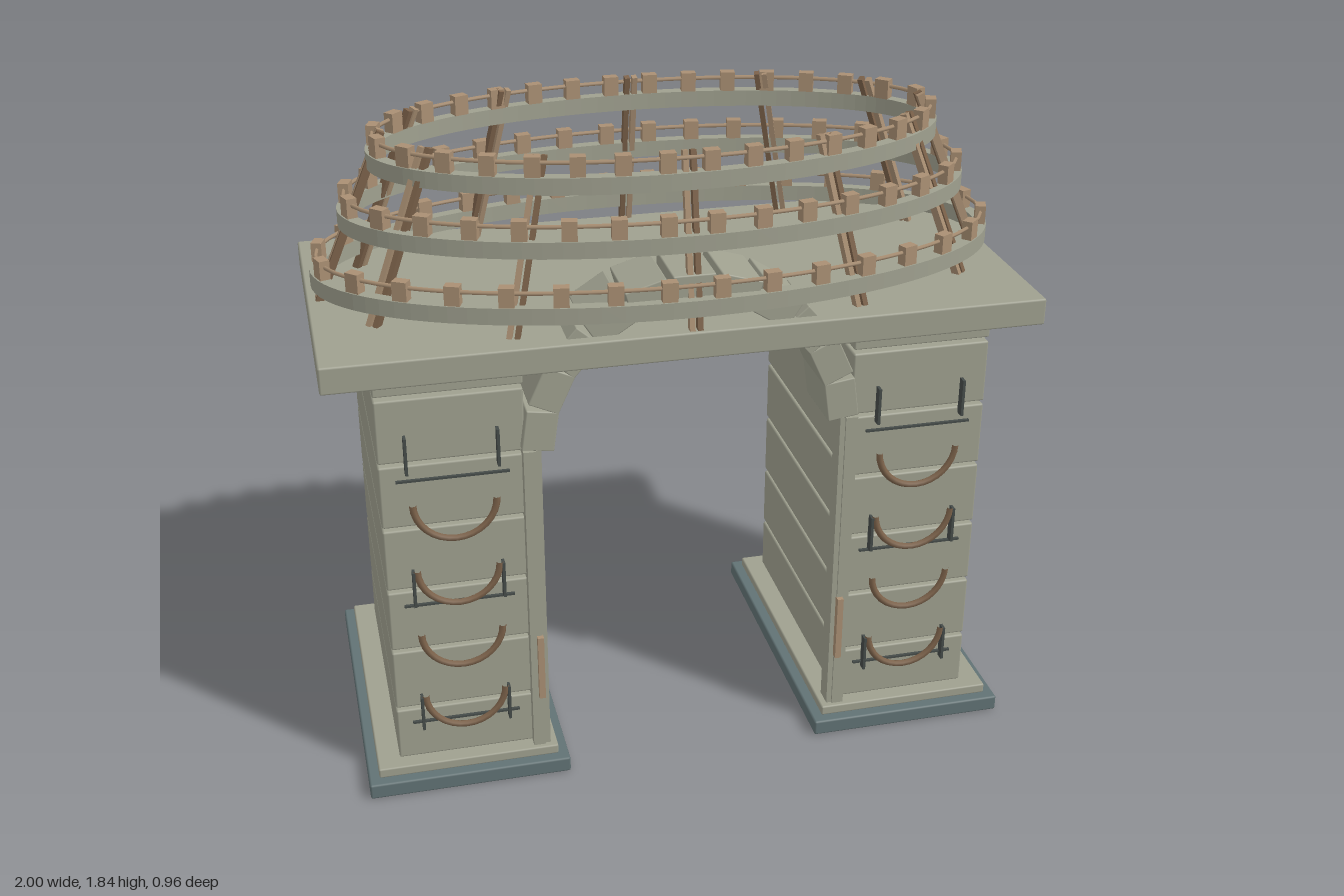
import * as THREE from 'three';
import { RoundedBoxGeometry } from 'three/addons/geometries/RoundedBoxGeometry.js';

const mat = (name, color) => {
  const m = new THREE.MeshStandardMaterial({ color });
  m.name = name;
  return m;
};

export function createModel() {
  const stone = mat('stone', 0x9fa08f);
  const slate = mat('slate', 0x617274);
  const wood = mat('wood', 0xa98f73);
  const darkWood = mat('dark wood', 0x7d634b);
  const iron = mat('iron', 0x454b49);

  const model = new THREE.Group();
  model.name = 'archway';

  const add = (parent, name, geo, material, x = 0, y = 0, z = 0) => {
    const mesh = new THREE.Mesh(geo, material);
    mesh.name = name;
    mesh.position.set(x, y, z);
    parent.add(mesh);
    return mesh;
  };
  // Box given by its limits, with an optional softened edge
  const block = (parent, name, material, [x0, x1], [y0, y1], [z0, z1], r = 0) => {
    const s = [x1 - x0, y1 - y0, z1 - z0];
    const geo = r ? new RoundedBoxGeometry(...s, 1, r) : new THREE.BoxGeometry(...s);
    return add(parent, name, geo, material, (x0 + x1) / 2, (y0 + y1) / 2, (z0 + z1) / 2);
  };

  // Pillars, each drawn at +x and mirrored by its limits
  for (const side of [1, -1]) {
    const pillar = new THREE.Group();
    pillar.name = side > 0 ? 'leftPillar' : 'rightPillar';
    model.add(pillar);
    const X = (a, b) => (side > 0 ? [a, b] : [-b, -a]);

    block(pillar, 'foot', slate, X(0.375, 0.96), [0, 0.047], [-0.48, 0.48], 0.006);
    block(pillar, 'plinth', stone, X(0.405, 0.93), [0.047, 0.077], [-0.45, 0.45], 0.005);
    for (let i = 0; i < 6; i++) {
      const y0 = i ? 0.053 + i * 0.197 : 0.077;
      block(pillar, 'course', stone, X(0.465, 0.865), [y0, 0.24 + i * 0.197], [-0.405, 0.405], 0.006);
    }
    block(pillar, 'cap', stone, X(0.465, 0.865), [1.237, 1.287], [-0.405, 0.405], 0.005);

    // Door jamb with a wooden handle plate
    block(pillar, 'jamb', stone, X(0.425, 0.475), [0.077, 1.045], [0.375, 0.43]);
    block(pillar, 'jambBead', stone, X(0.44, 0.475), [0.077, 1.045], [0.43, 0.436]);
    block(pillar, 'jambPlate', wood, X(0.438, 0.456), [0.25, 0.455], [0.43, 0.451]);

    // Hanging ropes on the front face
    const cx = side * 0.665;
    for (let i = 0; i < 4; i++) {
      const rope = add(pillar, 'rope', new THREE.TorusGeometry(0.115, 0.01, 6, 16, Math.PI),
        darkWood, cx, 0.295 + i * 0.207, 0.424);
      rope.rotation.z = Math.PI;
    }
    // Iron rails and pins
    for (let i = 0; i < 3; i++) {
      const y = 0.198 + i * 0.393;
      block(pillar, 'rail', iron, [cx - 0.155, cx + 0.155], [y - 0.003, y + 0.003], [0.404, 0.414]);
      for (const dx of [-0.125, 0.125])
        block(pillar, 'pin', iron, [cx + dx - 0.004, cx + dx + 0.004],
          [y - 0.018 + i * 0.022, y + 0.092 + i * 0.022], [0.404, 0.43]);
    }
  }

  // Roof slab and lintel
  block(model, 'slab', stone, [-1, 1], [1.287, 1.365], [-0.465, 0.465], 0.006);
  block(model, 'lintel', slate, [-0.5, 0.5], [1.14, 1.257], [-0.31, -0.095]);

  // Arch of eleven stones
  const arch = new THREE.Group();
  arch.name = 'arch';
  model.add(arch);
  for (let i = 0; i < 11; i++) {
    const a = ((i + 0.5) * Math.PI) / 11;
    const s = add(arch, 'archStone', new RoundedBoxGeometry(0.118, 0.09, 0.2, 1, 0.004), stone,
      0.43 * Math.cos(a), 1.04 + 0.43 * Math.sin(a), 0.33);
    s.rotation.z = a - Math.PI / 2;
  }

  // Oval crown: three bands, each with a rail and a row of blocks
  const crown = new THREE.Group();
  crown.name = 'crown';
  model.add(crown);
  const tiers = [[0.985, 0.462, 1.407], [0.898, 0.422, 1.575], [0.81, 0.383, 1.735]];
  const wall = 0.035;
  for (const [a, b, y] of tiers) {
    const shape = new THREE.Shape().absellipse(0, 0, a, b, 0, Math.PI * 2);
    shape.holes.push(new THREE.Path().absellipse(0, 0, a - wall, b - wall, 0, Math.PI * 2));
    const band = new THREE.ExtrudeGeometry(shape, { depth: 0.047, bevelEnabled: false, curveSegments: 48 });
    band.rotateX(-Math.PI / 2);
    add(crown, 'band', band, stone, 0, y, 0);

    const path = new THREE.EllipseCurve(0, 0, a - 0.02, b - 0.02);
    const loop = new THREE.CatmullRomCurve3(
      path.getPoints(48).slice(0, 48).map((p) => new THREE.Vector3(p.x, 0, p.y)), true);
    add(crown, 'railRing', new THREE.TubeGeometry(loop, 96, 0.006, 5, true), wood, 0, y + 0.083, 0);
    for (let i = 0; i < 32; i++) {
      const u = (i + 0.5) / 32;
      const p = path.getPointAt(u), t = path.getTangentAt(u);
      const m = add(crown, 'crownBlock', new THREE.BoxGeometry(0.042, 0.056, 0.03), wood,
        p.x, y + 0.074, p.y);
      m.rotation.y = -Math.atan2(t.y, t.x);
    }
  }

  // Leaning posts, each a pair of rods following the slope of the tiers
  const up = new THREE.Vector3(0, 1, 0);
  for (let i = 0; i < 12; i++) {
    const a = (i * Math.PI) / 6, c = Math.cos(a), s = Math.sin(a);
    const low = new THREE.Vector3(0.965 * c, 1.362, 0.445 * s);
    const high = new THREE.Vector3(0.765 * c, 1.835, 0.35 * s);
    const across = new THREE.Vector3(-0.965 * s, 0, 0.445 * c).normalize();
    const dir = high.clone().sub(low);
    const len = dir.length();
    dir.normalize();
    const basis = new THREE.Matrix4().makeBasis(across, dir, across.clone().cross(dir).normalize());
    for (const k of [-1, 1]) {
      const mid = low.clone().add(high).multiplyScalar(0.5).addScaledVector(across, k * 0.011);
      const rod = add(crown, 'post', new THREE.BoxGeometry(0.015, len, 0.022),
        k > 0 ? wood : darkWood, mid.x, mid.y, mid.z);
      // Keep the box frame orthogonal on the slanted sides
      rod.quaternion.setFromRotationMatrix(basis);
      const fix = up.clone().applyQuaternion(rod.quaternion.normalize());
      rod.quaternion.premultiply(new THREE.Quaternion().setFromUnitVectors(fix, dir));
    }
  }

  return model;
}
